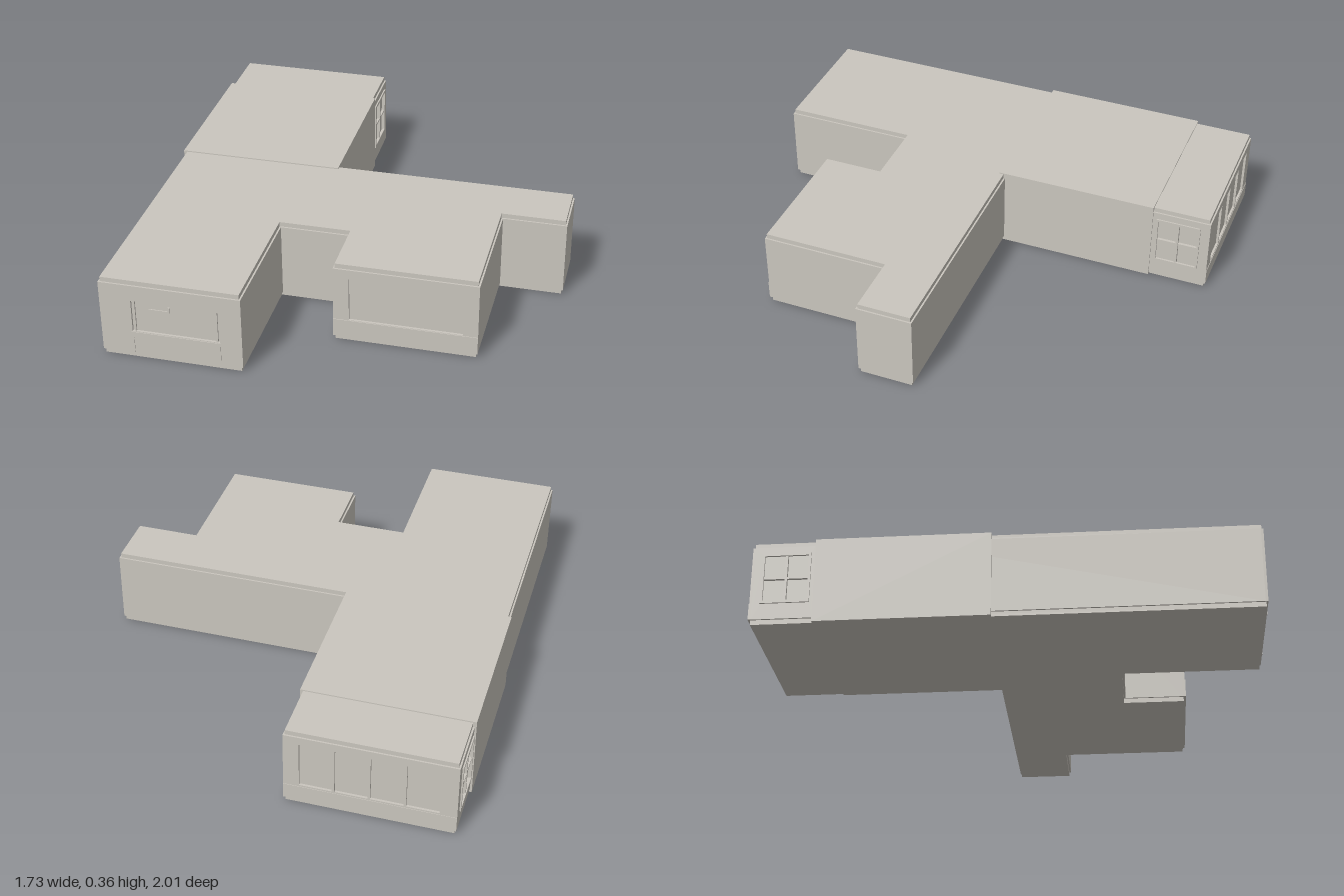
import * as THREE from 'three';

const plaster = new THREE.MeshStandardMaterial({ color: 0xcac6be });
plaster.name = 'warm grey plaster';

const LOW = 0.02, HIGH = 0.335, TOP = 0.355, PANEL = 0.01;

export function createModel() {
  const model = new THREE.Group();
  model.name = 'building';

  const add = (name, geometry, parent = model) => {
    const mesh = new THREE.Mesh(geometry, plaster);
    mesh.name = name;
    parent.add(mesh);
    return mesh;
  };

  // Extrudes a floor plan of [x, z] corners from y0 up to y1
  const storey = (name, plan, y0, y1) => {
    const shape = new THREE.Shape(plan.map(([x, z]) => new THREE.Vector2(x, -z)));
    const g = new THREE.ExtrudeGeometry(shape, { depth: y1 - y0, bevelEnabled: false });
    add(name, g.rotateX(-Math.PI / 2).translate(0, y0, 0));
  };

  // Moves every side of a right-angled plan inwards by d
  const inset = (plan, d) => plan.map((p, i) => {
    const n = plan.length, a = plan[(i + n - 1) % n], b = plan[(i + 1) % n];
    let [x, z] = p;
    for (const [s, e] of [[a, p], [p, b]]) {
      x += Math.sign(e[1] - s[1]) * d;
      z -= Math.sign(e[0] - s[0]) * d;
    }
    return [x, z];
  });

  // Group whose local z points out of a facade
  const facade = (name, angle) => {
    const group = new THREE.Group();
    group.name = name;
    group.rotation.y = angle;
    model.add(group);
    return group;
  };

  // Box given by its extents
  const box = (name, parent, u0, u1, y0, y1, w0, w1) => add(name,
    new THREE.BoxGeometry(u1 - u0, y1 - y0, w1 - w0)
      .translate((u0 + u1) / 2, (y0 + y1) / 2, (w0 + w1) / 2), parent);

  const rect = (T, u0, u1, y0, y1) => new T([[u0, y0], [u1, y0], [u1, y1], [u0, y1]]
    .map(([u, y]) => new THREE.Vector2(u, y)));

  // Thin outer wall with window openings, outer surface at w
  const wall = (parent, u0, u1, w, holes, depth = PANEL, y0 = LOW, y1 = HIGH, name = 'windowWall') => {
    const shape = rect(THREE.Shape, u0, u1, y0, y1);
    shape.holes = holes.map(h => rect(THREE.Path, ...h));
    const g = new THREE.ExtrudeGeometry(shape, { depth, bevelEnabled: false });
    add(name, g.translate(0, 0, w - depth), parent);
  };

  // Floor plan, and the same plan set back behind the window walls
  const plan = [[-0.86, 1], [-0.28, 1], [-0.28, 0.44], [0.005, 0.44], [0.005, 0.695],
    [0.595, 0.695], [0.595, 0.16], [0.862, 0.16], [0.862, -0.08], [-0.17, -0.08],
    [-0.17, -1], [-0.86, -1]];
  const core = [[-0.86, 0.99], [-0.28, 0.99], [-0.28, 0.44], [0.005, 0.44], [0.005, 0.685],
    [0.595, 0.685], [0.595, 0.16], [0.862, 0.16], [0.862, -0.08], [-0.18, -0.08],
    [-0.18, -0.99], [-0.85, -0.99], [-0.85, -0.4], [-0.86, -0.4]];
  storey('floorSlab', inset(plan, 0.007), 0, LOW);
  storey('walls', core, LOW, HIGH);
  storey('roofSlab', inset(plan, 0.007), HIGH, TOP);

  // Slightly larger middle section with a raised roof
  box('middleSection', model, -0.868, -0.165, 0, 0.36, -0.75, -0.055);

  // West wing front: window with a counter on two legs
  const west = facade('westFront', 0);
  wall(west, -0.86, -0.28, 1, [[-0.73, -0.37, 0.125, 0.265]]);
  box('counter', west, -0.735, -0.368, 0.097, 0.122, 0.995, 1.003);
  for (const u of [-0.735, -0.378]) box('counterLeg', west, u, u + 0.01, 0.025, 0.097, 0.995, 1.003);
  box('windowJamb', west, -0.722, -0.715, 0.125, 0.265, 0.988, 0.997);
  box('windowJamb', west, -0.385, -0.378, 0.125, 0.265, 0.988, 0.997);
  box('latchBar', west, -0.66, -0.575, 0.228, 0.233, 0.988, 0.994);
  box('latch', west, -0.58, -0.572, 0.228, 0.252, 0.988, 0.995);

  // Centre block front: one wide window above a plinth
  const centre = facade('centreFront', 0);
  wall(centre, 0.005, 0.595, 0.695, [[0.07, 0.535, 0.1, 0.3]]);
  box('plinth', centre, 0.005, 0.595, LOW, 0.098, 0.69, 0.698);
  box('blindRail', centre, 0.07, 0.535, 0.292, 0.3, 0.684, 0.694);

  // Back of the rear room: row of four tall panes
  const back = facade('backWindows', Math.PI);
  const panes = [0, 1, 2, 3].map(i => [0.234 + i * 0.142, 0.366 + i * 0.142, 0.095, 0.3]);
  wall(back, 0.17, 0.86, 1, panes);
  box('plinth', back, 0.17, 0.86, LOW, 0.088, 0.995, 1.002);

  // Sides of the rear room: framed window with crossed bars, once on each side
  for (const [name, angle, s, w] of [['leftWindow', Math.PI / 2, 1, -0.17],
    ['rightWindow', -Math.PI / 2, -1, 0.86]]) {
    const side = facade(name, angle);
    const mid = s * 0.862;
    const h = [mid - 0.092, mid + 0.092, 0.092, 0.3];
    const ends = [s * 0.75, s * 0.99].sort((a, b) => a - b);
    wall(side, ...ends, w, [h]);
    wall(side, h[0] - 0.005, h[1] + 0.005, w + 0.006,
      [[h[0] + 0.005, h[1] - 0.005, h[2] + 0.006, h[3] - 0.006]], 0.008, h[2] - 0.005, h[3] + 0.005, 'windowFrame');
    box('uprightBar', side, mid - 0.005, mid + 0.005, h[2], h[3], w - 0.01, w + 0.003);
    box('crossBar', side, h[0], h[1], 0.192, 0.2, w - 0.01, w + 0.002);
  }

  return model;
}
